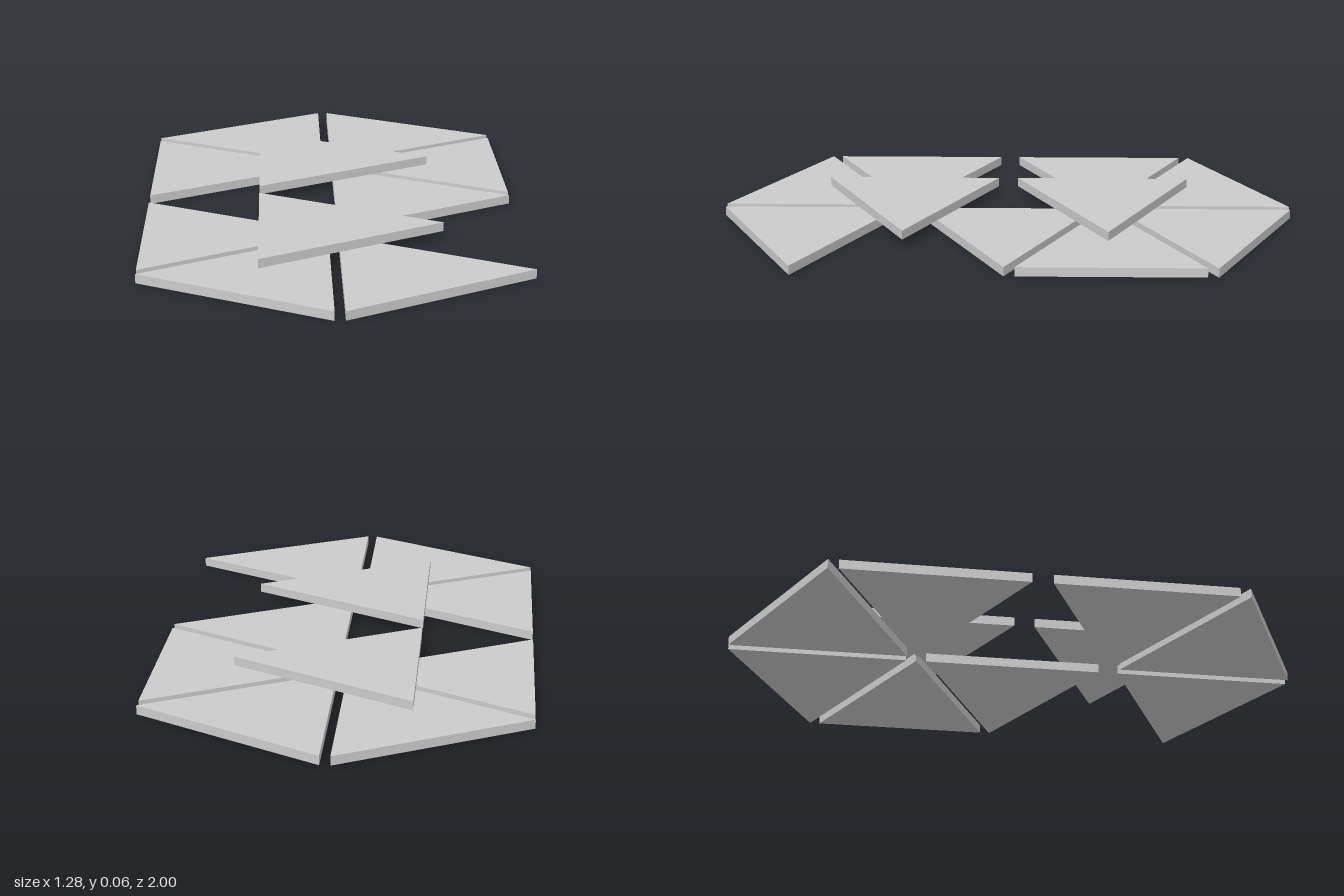
import * as THREE from 'three';

const HALF_BASE = 0.31, LENGTH = 0.622, THICK = 0.0315;

// Flat triangular tile: base edge runs along z at baseX, apex points along dir (+1 or -1) in x.
function tile(name, baseX, z, dir, layer, material) {
  const shape = new THREE.Shape([
    new THREE.Vector2(baseX, z - HALF_BASE),
    new THREE.Vector2(baseX + dir * LENGTH, z),
    new THREE.Vector2(baseX, z + HALF_BASE),
  ]);
  const geometry = new THREE.ExtrudeGeometry(shape, { depth: THICK, bevelEnabled: false });
  geometry.rotateX(Math.PI / 2);
  geometry.translate(0, THICK * (layer + 1), 0);
  const mesh = new THREE.Mesh(geometry, material);
  mesh.name = name;
  return mesh;
}

export function createModel() {
  const group = new THREE.Group();
  group.name = 'triangleTiles';
  const material = new THREE.MeshStandardMaterial({ color: 0xcccccc, flatShading: true });
  const add = (...args) => group.add(tile(...args, material));

  // Tiles repeated at the back and the front, with one on the upper layer
  for (const [end, s] of [['back', -1], ['front', 1]]) {
    add(end + 'OuterLeftTile', 0.017, s * 0.69, 1, 0);
    add(end + 'OuterRightTile', -0.017, s * 0.69, -1, 0);
    add(end + 'SideRightTile', -0.639, s * 0.345, 1, 0);
    add(end + 'UpperTile', -0.25, s * 0.345, 1, 1);
  }

  // Single tiles completing the back hexagon
  add('backSideLeftTile', 0.639, -0.345, -1, 0);
  add('middleTile', 0.017, 0, 1, 0);
  return group;
}
